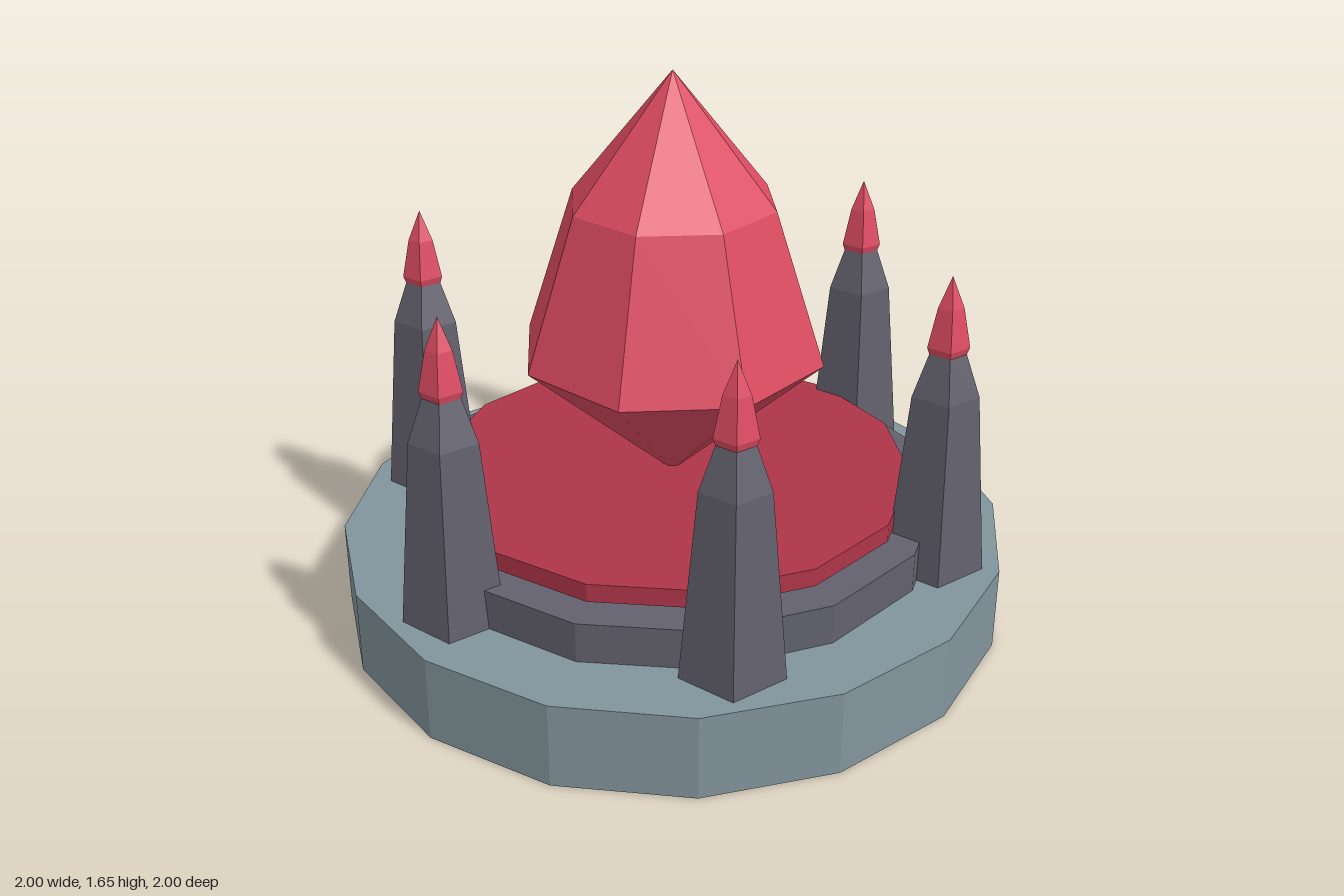
import * as THREE from 'three';

const flat = (name, color) => {
  const m = new THREE.MeshStandardMaterial({ color, flatShading: true });
  m.name = name;
  return m;
};

// Faceted solid turned from [radius, height] points listed bottom to top
function turned(name, profile, sides, material, phiStart = 0) {
  const points = profile.map(([r, y]) => new THREE.Vector2(r, y));
  const mesh = new THREE.Mesh(new THREE.LatheGeometry(points, sides, phiStart), material);
  mesh.name = name;
  return mesh;
}

// Flat polygonal slab between two heights
function slab(name, radius, y0, y1, sides, material) {
  const mesh = new THREE.Mesh(new THREE.CylinderGeometry(radius, radius, y1 - y0, sides), material);
  mesh.position.y = (y0 + y1) / 2;
  mesh.name = name;
  return mesh;
}

export function createModel() {
  const stone = flat('greyBlueStone', 0x82959c);
  const darkStone = flat('darkStone', 0x62616d);
  const crystalRed = flat('crystalRed', 0xde4c62);
  const deepRed = flat('deepRed', 0xae3548);

  const model = new THREE.Group();
  model.name = 'crystalShrine';

  // Plinth, step and floating disc
  model.add(
    slab('base', 1, 0, 0.255, 16, stone),
    slab('step', 0.8, 0.255, 0.375, 14, darkStone),
    slab('disc', 0.715, 0.39, 0.445, 14, deepRed),
  );

  // Large central crystal
  model.add(turned('crystal', [[0, 0.415], [0.455, 0.83], [0.305, 1.28], [0, 1.655]], 8, crystalRed));

  // Ring of six pentagonal pillars, all turned the same way, with crystal tips
  for (let i = 0; i < 6; i++) {
    const angle = (i * Math.PI) / 3;
    const pillar = new THREE.Group();
    pillar.name = 'pillar' + (i + 1);
    pillar.position.set(0.8 * Math.cos(angle), 0, 0.8 * Math.sin(angle));
    pillar.add(
      turned('shaft', [[0, 0.255], [0.15, 0.255], [0.099, 0.805], [0.054, 0.93], [0, 0.93]], 5, darkStone, Math.PI / 2),
      turned('tip', [[0, 0.88], [0.054, 0.928], [0.062, 0.95], [0.038, 1.065], [0, 1.155]], 5, crystalRed, Math.PI / 2),
    );
    model.add(pillar);
  }
  return model;
}
